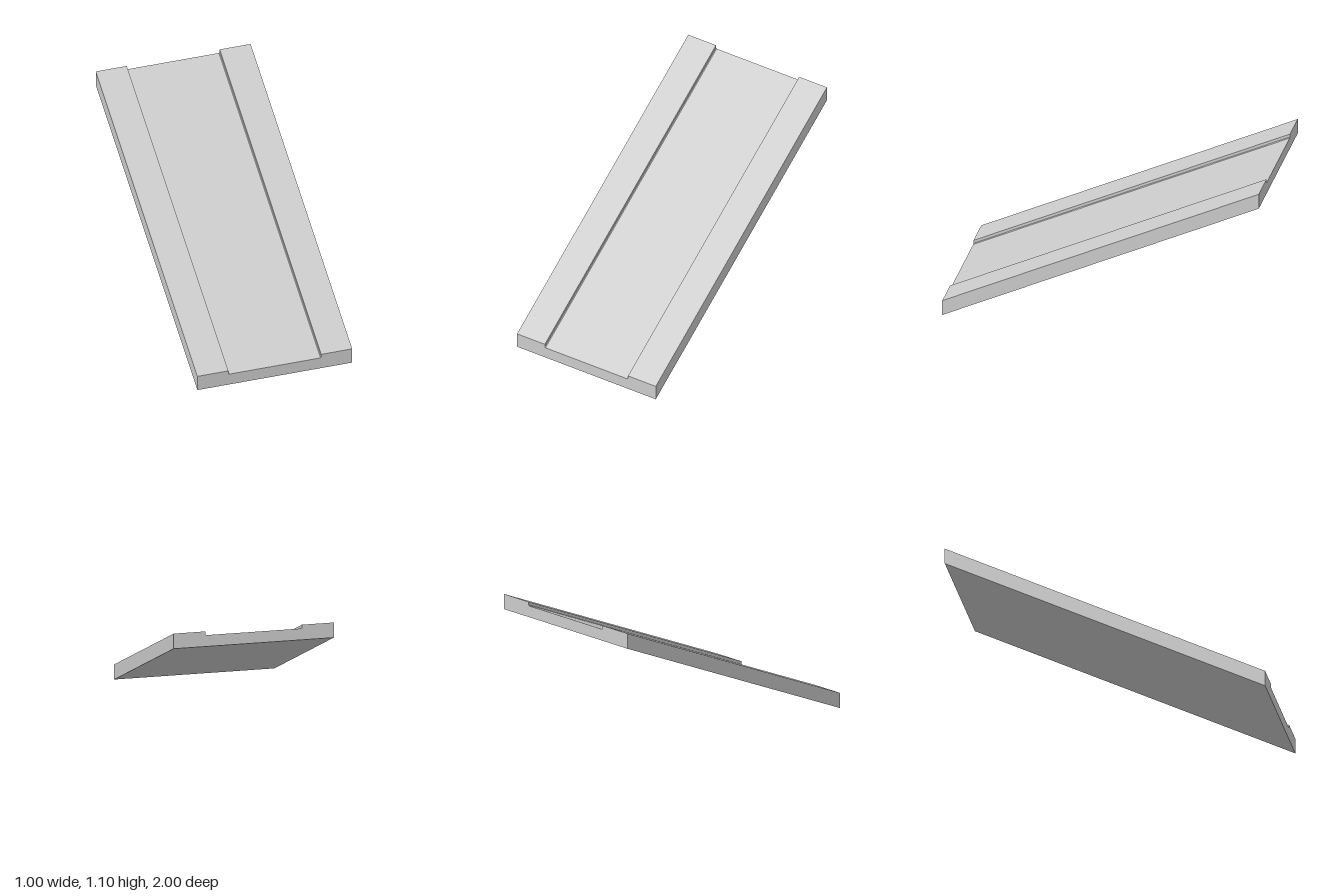
import * as THREE from 'three';

const LENGTH = 2, RISE = 1;
const HALF_WIDTH = 0.5, HALF_CHANNEL = 0.3;
const KERB_TOP = 0.1, CHANNEL_FLOOR = 0.075, CHAMFER = 0.005;

// Cross-section: slab with a shallow channel between two raised kerbs
function rampProfile() {
  const right = [
    [HALF_WIDTH, 0],
    [HALF_WIDTH, KERB_TOP],
    [HALF_CHANNEL, KERB_TOP],
    [HALF_CHANNEL, CHANNEL_FLOOR + CHAMFER],
    [HALF_CHANNEL - CHAMFER, CHANNEL_FLOOR],
  ];
  const left = right.map(([x, y]) => [-x, y]).reverse();
  return new THREE.Shape([...right, ...left].map(([x, y]) => new THREE.Vector2(x, y)));
}

export function createModel() {
  const group = new THREE.Group();
  group.name = 'ramp';

  const geometry = new THREE.ExtrudeGeometry(rampProfile(), { depth: LENGTH, bevelEnabled: false });
  geometry.translate(0, 0, -LENGTH / 2);

  // Shear upward toward the back so both end faces stay vertical
  const slope = RISE / LENGTH;
  geometry.applyMatrix4(new THREE.Matrix4().set(
    1, 0, 0, 0,
    0, 1, -slope, RISE / 2,
    0, 0, 1, 0,
    0, 0, 0, 1,
  ));
  geometry.computeVertexNormals();

  const material = new THREE.MeshStandardMaterial({ color: 0xcccccc, flatShading: true });
  const slab = new THREE.Mesh(geometry, material);
  slab.name = 'channelledSlab';
  group.add(slab);
  return group;
}
